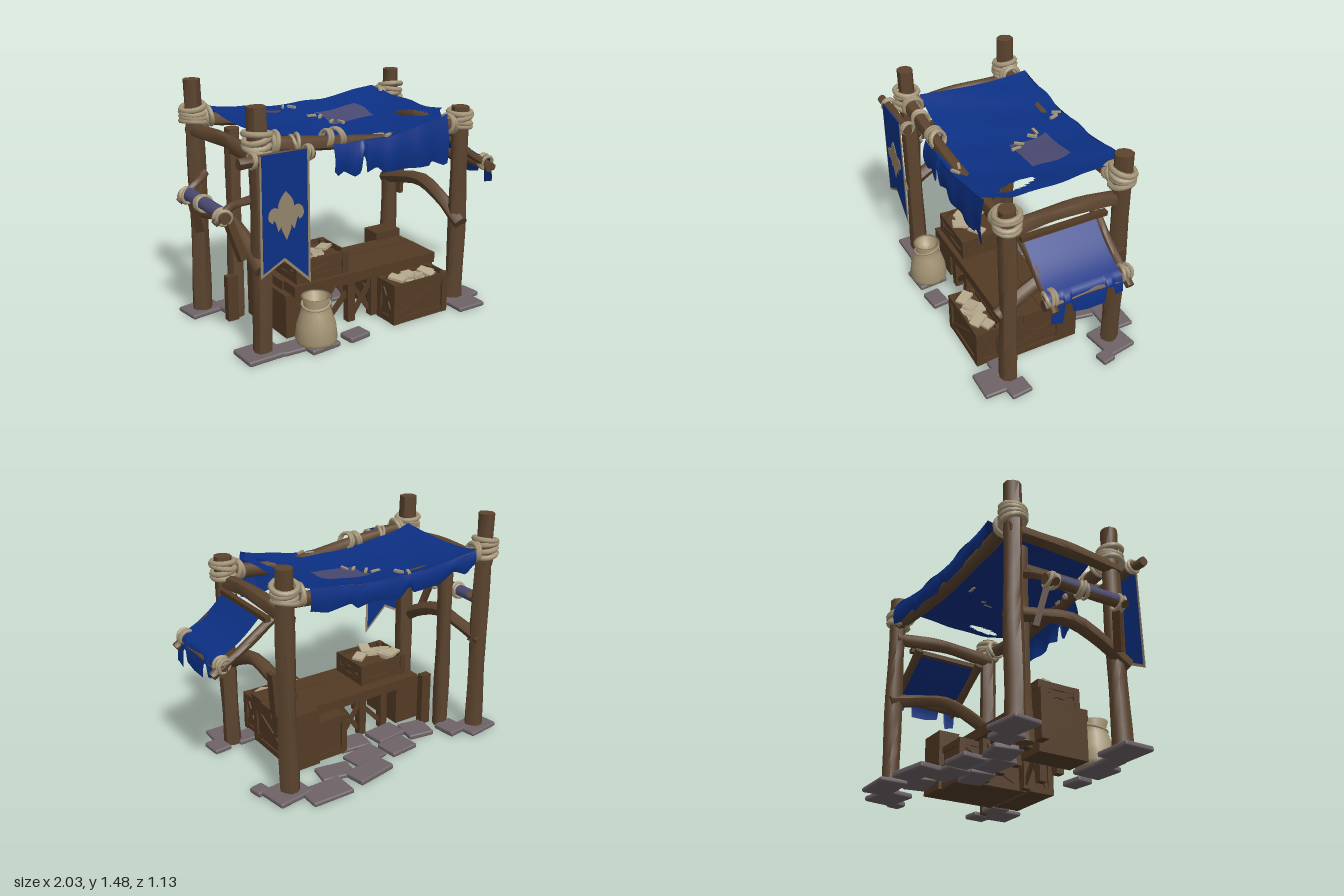
import * as THREE from 'three';
import { toCreasedNormals } from 'three/addons/utils/BufferGeometryUtils.js';
import { RoundedBoxGeometry } from 'three/addons/geometries/RoundedBoxGeometry.js';
import { ParametricGeometry } from 'three/addons/geometries/ParametricGeometry.js';

const mat = (name, color, side = THREE.FrontSide) => {
  const m = new THREE.MeshStandardMaterial({ color, side });
  m.name = name;
  return m;
};
const V = (a) => new THREE.Vector3(...a);

export function createModel() {
  const root = new THREE.Group();
  root.name = 'marketStall';
  const wood = mat('log wood', 0x5c442e), plank = mat('plank wood', 0x533b25);
  const blue = mat('blue cloth', 0x0c3084, THREE.DoubleSide);
  const patchMat = mat('patch cloth', 0x4a4a72, THREE.DoubleSide);
  const rope = mat('rope', 0xa6977a), tan = mat('tan trim', 0x94846a);
  const sackMat = mat('sackcloth', 0xa39473, THREE.DoubleSide);
  const paper = mat('parchment', 0xb5a88c), stone = mat('stone', 0x6e6468);
  let seed = 7;
  const rnd = (a, b) => {
    seed = (seed * 16807) % 2147483647;
    return a + (b - a) * (seed / 2147483647);
  };
  const add = (name, geo, m, parent = root) => {
    const mesh = new THREE.Mesh(geo, m);
    mesh.name = name;
    parent.add(mesh);
    return mesh;
  };
  // box given by its lower and upper corners
  const box = (name, a, b, m = plank, parent = root) => {
    const mesh = add(name, new THREE.BoxGeometry(b[0] - a[0], b[1] - a[1], b[2] - a[2]), m, parent);
    mesh.position.set((a[0] + b[0]) / 2, (a[1] + b[1]) / 2, (a[2] + b[2]) / 2);
    return mesh;
  };
  // hewn log: a cylinder bent along a curve, slightly uneven
  const log = (name, pts, r, r2 = r, m = wood, sides = 9) => {
    const curve = new THREE.CatmullRomCurve3(pts.map(V));
    const g = new THREE.CylinderGeometry(r2, r, 1, sides, 10);
    const p = g.attributes.position, ph = rnd(0, 6), v = V([0, 0, 0]);
    const axis = V(pts[pts.length - 1]).sub(V(pts[0])).normalize();
    const ref = Math.abs(axis.y) > 0.8 ? V([0, 0, 1]) : V([0, 1, 0]);
    for (let i = 0; i < p.count; i++) {
      v.fromBufferAttribute(p, i);
      const t = v.y + 0.5, a = Math.atan2(v.z, v.x);
      const k = 1 + 0.06 * Math.sin(t * 11 + ph + a * 2) + 0.05 * Math.cos(a * 4 + ph);
      const tan3 = curve.getTangent(t), side = tan3.clone().cross(ref).normalize();
      const up = side.clone().cross(tan3);
      const q = curve.getPoint(t).addScaledVector(side, v.x * k).addScaledVector(up, v.z * k);
      p.setXYZ(i, q.x, q.y, q.z);
    }
    return add(name, toCreasedNormals(g, 0.8), m);
  };
  // board or batten between two points
  const batten = (name, a, b, w, d, parent = root, m = plank) => {
    const A = V(a), B = V(b);
    const mesh = add(name, new THREE.BoxGeometry(w, A.distanceTo(B), d), m, parent);
    mesh.position.copy(A).add(B).multiplyScalar(0.5);
    mesh.quaternion.setFromUnitVectors(V([0, 1, 0]), B.sub(A).normalize());
    return mesh;
  };
  // cloth surface from a rule, with an optional torn hole
  const sheet = (name, f, m, nu, nv, torn) => {
    const g = new ParametricGeometry((u, v, o) => o.set(...f(u, v)), nu, nv);
    if (torn) {
      const id = g.index.array, p = g.attributes.position, keep = [];
      for (let i = 0; i < id.length; i += 3) {
        const c = (k) => (p.getComponent(id[i], k) + p.getComponent(id[i + 1], k) + p.getComponent(id[i + 2], k)) / 3;
        if (!torn(c(0), c(2))) keep.push(id[i], id[i + 1], id[i + 2]);
      }
      g.setIndex(keep);
    }
    g.computeVertexNormals();
    return add(name, g, m);
  };
  const profile = (pts) => (x) => {
    let i = 1;
    while (i < pts.length - 1 && x > pts[i][0]) i++;
    const [x0, y0] = pts[i - 1], [x1, y1] = pts[i];
    return y0 + (y1 - y0) * THREE.MathUtils.clamp((x - x0) / (x1 - x0), 0, 1);
  };
  // rope lashing: a few tilted coils
  const lashing = (x, y, z, r, n = 4, axis = 'y', th = 0.014) => {
    const grp = new THREE.Group();
    grp.name = 'ropeLashing';
    for (let i = 0; i < n; i++) {
      const t = add('ropeCoil', new THREE.TorusGeometry(r * rnd(0.95, 1.12), th, 6, 16), rope, grp);
      t.rotation.set(Math.PI / 2 + rnd(-0.3, 0.3), rnd(-0.3, 0.3), 0);
      t.position.y = (i - (n - 1) / 2) * th * 1.7;
    }
    if (axis === 'x') grp.rotation.z = Math.PI / 2;
    if (axis === 'z') grp.rotation.x = Math.PI / 2;
    grp.position.set(x, y, z);
    root.add(grp);
  };

  // corner posts with rope lashings
  for (const [x, z, h, ry] of [[-0.82, -0.36, 1.48, 1.27], [-0.78, 0.36, 1.44, 1.25], [0.62, -0.36, 1.41, 1.26], [0.62, 0.36, 1.28, 1.2]]) {
    log('cornerPost', [[x, 0.01, z], [x + 0.008, h / 2, z], [x, h, z]], 0.058, 0.053);
    lashing(x, ry, z, 0.066, 4, 'y', 0.017);
    lashing(x - Math.sign(x) * 0.09, ry - 0.02, z, 0.055, 2, 'x');
  }
  log('backPost', [[-0.66, 0, -0.2], [-0.65, 0.6, -0.21], [-0.65, 1.2, -0.2]], 0.05, 0.043);

  // frame beams
  log('frontBeam', [[-0.8, 1.24, 0.37], [-0.3, 1.18, 0.37], [0.2, 1.14, 0.36], [0.64, 1.18, 0.36]], 0.042);
  log('backBeam', [[-0.84, 1.24, -0.36], [-0.1, 1.18, -0.36], [0.66, 1.22, -0.36]], 0.04);
  log('rightBeam', [[0.61, 1.12, 0.36], [0.61, 1.145, 0], [0.61, 1.11, -0.38]], 0.045);
  log('leftBeam', [[-0.79, 1.17, 0.4], [-0.8, 1.19, 0], [-0.82, 1.17, -0.4]], 0.042);
  batten('innerRail', [-0.68, 1.07, 0.32], [-0.66, 1.07, -0.24], 0.04, 0.035);
  for (const s of [-1, 1]) {
    const x = s > 0 ? 0.61 : -0.8;
    log('bentBrace', [[x, 0.54, 0.42], [x, 0.66, 0.22], [x, 0.73, 0.02], [x, 0.7, -0.18], [x, 0.65, -0.4]], 0.046, 0.04);
  }

  // canopy, sagging between its corners
  const canopyY = (x, z) => {
    const s = (x + 0.72) / 1.24, t = (z + 0.44) / 0.86;
    return 1.3 - 4 * s * (1 - s) * (0.06 + 0.045 * t) - 0.02 * t - 0.12 * t * (1 - t) + 0.004 * Math.sin(x * 17 + z * 9);
  };
  const frontEdge = profile([[-0.74, 0.29], [-0.45, 0.31], [-0.28, 0.34], [-0.22, 0.42], [0.43, 0.42], [0.5, 0.31], [0.53, 0.3]]);
  sheet('canopy', (u, v) => {
    const x = THREE.MathUtils.lerp(-0.68 - 0.05 * v, 0.52 + 0.008 * Math.sin(v * 14), u);
    const z = THREE.MathUtils.lerp(-0.44 + 0.008 * Math.sin(u * 19), frontEdge(x), v);
    return [x, canopyY(x, z), z];
  }, blue, 60, 48, (x, z) => Math.hypot((x - 0.39 - (z - 0.18) * 0.25) / 0.045, (z - 0.18) / 0.12) < 1);
  sheet('canopyPatch', (u, v) => {
    const x = -0.05 + 0.3 * u + 0.015 * Math.sin(v * 5), z = -0.245 + 0.24 * v;
    return [x, canopyY(x, z) + 0.005, z];
  }, patchMat, 12, 10);
  for (const [x, z, a] of [[-0.08, -0.18, 0.4], [-0.02, -0.04, 1.2], [-0.17, -0.38, 1.5], [0.03, 0.38, 0.1]]) {
    for (const d of [-0.02, 0.02]) {
      const st = box('ropeStitch', [-0.03, -0.008, -0.008], [0.03, 0.008, 0.008], rope);
      st.position.set(x + d, canopyY(x, z) + 0.008, z + d);
      st.rotation.y = a + d * 20;
    }
  }
  // ragged flaps at front and back
  const frag = profile([[-0.34, 1.03], [-0.31, 1.0], [-0.27, 1.02], [-0.2, 0.98], [-0.16, 1.0], [-0.15, 1.09], [-0.13, 1.09], [-0.12, 0.99],
    [-0.04, 1.01], [0, 0.975], [0.15, 0.97], [0.34, 0.96], [0.36, 0.985], [0.44, 0.95], [0.47, 0.96]]);
  sheet('frontFlap', (u, v) => {
    const x = -0.34 + 0.81 * u, top = canopyY(x, 0.42);
    return [x, THREE.MathUtils.lerp(top, frag(x), v), 0.42 + 0.02 * Math.sin(v * 2.6) + 0.008 * v * Math.sin(x * 30)];
  }, blue, 80, 8);
  const back = profile([[-0.66, 1.2], [-0.6, 1.15], [-0.5, 1.19], [-0.4, 1.13], [-0.2, 1.12], [-0.17, 1.17], [-0.1, 1.1], [0.1, 1.13], [0.2, 1.11], [0.24, 1.15], [0.4, 1.13], [0.5, 1.16]]);
  sheet('backFlap', (u, v) => {
    const x = -0.67 + 1.18 * u;
    return [x, THREE.MathUtils.lerp(canopyY(x, -0.44), back(x), v), -0.44 - 0.012 * Math.sin(v * 3)];
  }, blue, 60, 6);
  for (const x of [-0.55, -0.35, -0.28]) lashing(x, 1.21, 0.365, 0.047, 2, 'x', 0.011);

  // side awning
  for (const z of [-0.2, 0.27]) {
    log('awningArm', [[0.6, 1.07, z], [0.8, 0.93, z], [1.0, 0.81, z]], 0.028, 0.025);
    lashing(0.93, 0.86, z, 0.042, 3, 'z', 0.011);
  }
  log('awningBar', [[0.94, 0.83, 0.31], [0.94, 0.84, 0.05], [0.94, 0.83, -0.22]], 0.034);
  batten('awningTopRail', [0.66, 1.08, 0.3], [0.66, 1.08, -0.24], 0.035, 0.03);
  const aw = profile([[-0.17, 0.78], [-0.12, 0.77], [-0.1, 0.84], [-0.06, 0.84], [-0.055, 0.74], [0.06, 0.74], [0.15, 0.76], [0.16, 0.83], [0.2, 0.83], [0.21, 0.7], [0.27, 0.72], [0.28, 0.72]]);
  sheet('sideAwning', (u, v) => {
    const z = 0.285 - 0.45 * u, k = Math.min(v / 0.7, 1), h = Math.max(0, (v - 0.7) / 0.3);
    const y = 1.085 - 0.205 * k - 0.03 * Math.sin(k * Math.PI);
    return [0.66 + 0.3 * k + 0.025 * Math.sin(h * 1.6), THREE.MathUtils.lerp(y, aw(z), h), z];
  }, blue, 64, 16);
  batten('sideStrut', [0.685, 0.54, -0.33], [0.7, 0.8, -0.33], 0.03, 0.06);

  // tied rail on the opposite side
  log('sideRail', [[-0.95, 0.83, 0.3], [-0.94, 0.84, 0], [-0.95, 0.83, -0.25]], 0.033);
  for (const z of [-0.21, 0.26]) {
    log('railArm', [[-0.8, 0.93, z * 1.3], [-0.9, 0.88, z], [-1.0, 0.8, z]], 0.024);
    batten('railStrut', [-0.93, 0.84, z], [-0.86, 0.58, z * 1.2], 0.035, 0.05);
    lashing(-0.95, 0.83, z, 0.042, 3, 'z', 0.011);
  }
  lashing(-0.945, 0.84, 0, 0.043, 3, 'z', 0.011);
  sheet('railCloth', (u, v) => {
    const a = -0.4 + v * 3.9;
    return [-0.945 + 0.041 * Math.cos(a), 0.84 + 0.041 * Math.sin(a), -0.19 + 0.43 * u];
  }, patchMat, 10, 14);

  // hanging banner with trim and ornament
  log('bannerPole', [[-0.95, 1.175, 0.47], [-0.72, 1.18, 0.47], [-0.5, 1.175, 0.47]], 0.03);
  const poly = (pts) => new THREE.Shape(pts.map((p) => new THREE.Vector2(...p)));
  const plate = (name, shape, depth, z, m) => {
    const mesh = add(name, new THREE.ExtrudeGeometry(shape, { depth, bevelEnabled: false, curveSegments: 8 }), m);
    mesh.position.z = z;
    return mesh;
  };
  plate('bannerTrim', poly([[-0.845, 1.205], [-0.855, 0.53], [-0.71, 0.605], [-0.545, 0.445], [-0.545, 1.205]]), 0.004, 0.502, tan);
  plate('bannerCloth', poly([[-0.835, 1.21], [-0.84, 0.555], [-0.708, 0.625], [-0.56, 0.48], [-0.56, 1.21]]), 0.008, 0.5, blue);
  const leaf = new THREE.Shape().moveTo(0, 0.15);
  leaf.quadraticCurveTo(0.085, 0.07, 0.022, 0).lineTo(0.03, -0.06).lineTo(0, -0.125).lineTo(-0.03, -0.06).lineTo(-0.022, 0).quadraticCurveTo(-0.085, 0.07, 0, 0.15);
  const petal = (s) => {
    const p = new THREE.Shape().moveTo(s * 0.02, -0.03);
    return p.bezierCurveTo(s * 0.02, 0.06, s * 0.07, 0.09, s * 0.1, 0.05).quadraticCurveTo(s * 0.125, 0, s * 0.08, -0.02)
      .quadraticCurveTo(s * 0.075, 0.03, s * 0.05, -0.07).lineTo(s * 0.02, -0.03);
  };
  for (const sh of [leaf, petal(1), petal(-1), poly([[-0.06, -0.035], [0.06, -0.035], [0.06, -0.01], [-0.06, -0.01]])]) {
    plate('bannerOrnament', sh, 0.003, 0.508, tan).position.set(-0.695, 0.85, 0.508);
  }
  for (const x of [-0.86, -0.53]) lashing(x, 1.178, 0.46, 0.036, 2, 'x', 0.01);

  // framed crate with crossed battens and papers inside
  const crate = (name, x0, x1, y0, y1, z0, z1, open) => {
    const g = new THREE.Group();
    g.name = name;
    root.add(g);
    const e = 0.014, w = 0.04;
    box('crateBody', [x0 + e, y0, z0 + e], [x1 - e, y1 - (open ? 0.03 : 0), z1 - e], plank, g);
    for (const x of [x0, x1 - w]) for (const z of [z0, z1 - w]) box('cornerPiece', [x, y0, z], [x + w, y1, z + w], plank, g);
    for (const y of [y0, y1 - w]) {
      for (const z of [z0, z1 - e]) box('crateSlat', [x0 + w, y, z + 0.002], [x1 - w, y + w, z + e - 0.002], plank, g);
      for (const x of [x0, x1 - e]) box('crateSlat', [x + 0.002, y, z0 + w], [x + e - 0.002, y + w, z1 - w], plank, g);
    }
    const lo = y0 + w, hi = y1 - w;
    for (const x of [x0 + 0.01, x1 - 0.01]) for (const s of [0, 1]) batten('crossBatten', [x, s ? lo : hi, z0 + w], [x, s ? hi : lo, z1 - w], 0.012, 0.03, g);
    for (const z of [z0 + 0.01, z1 - 0.01]) batten('crossBatten', [x0 + w, lo, z], [x1 - w, hi, z], 0.03, 0.012, g);
    for (let i = 0; open && i < 9; i++) {
      const p = box('parchment', [-0.05, -0.008, -0.035], [0.05, 0.008, 0.035], paper, g);
      p.position.set(rnd(x0 + 0.07, x1 - 0.07), y1 - 0.015 + i * 0.003, rnd(z0 + 0.065, z1 - 0.065));
      p.rotation.set(rnd(-0.15, 0.15), rnd(0, 3), rnd(-0.15, 0.15));
    }
  };
  crate('counterCrate', 0.08, 0.49, 0.01, 0.28, -0.17, 0.3, false);
  crate('frontCrate', 0.05, 0.46, 0.01, 0.27, 0.31, 0.49, true);
  crate('topCrate', -0.51, -0.15, 0.34, 0.475, 0, 0.29, true);
  box('backBox', [0.3, 0.01, -0.19], [0.49, 0.39, -0.05]);

  // counter top, legs and cross braces
  for (let i = 0; i < 3; i++) box('counterPlank', [-0.56 + i * 0.01, 0.275, -0.07 + i * 0.13], [0.49 + (i % 2) * 0.01, 0.34 - (i % 2) * 0.005, 0.06 + i * 0.13]);
  box('counterSide', [-0.58, 0.01, -0.05], [-0.4, 0.28, 0.28]);
  for (const z of [-0.02, 0.27]) {
    for (const x of [-0.3, -0.13, 0.04]) box('counterLeg', [x - 0.025, 0.01, z - 0.025], [x + 0.025, 0.28, z + 0.025]);
    for (const s of [-1, 1]) batten('legCross', [-0.045 - s * 0.08, 0.03, z + s * 0.008], [-0.045 + s * 0.08, 0.26, z + s * 0.008], 0.03, 0.015);
    batten('legBrace', [-0.3, 0.04, z], [-0.15, 0.2, z], 0.03, 0.02);
  }
  for (const [x, h] of [[-0.76, 0.3], [-0.6, 0.37]]) box('leaningPlank', [x, 0.01, -0.16], [x + 0.07, h, -0.11]);

  // sack
  const sack = [[0, 0.015], [0.11, 0.015], [0.125, 0.05], [0.115, 0.14], [0.09, 0.22], [0.072, 0.265], [0.088, 0.31], [0.07, 0.305], [0.055, 0.25], [0, 0.24]];
  add('sack', new THREE.LatheGeometry(sack.map((p) => new THREE.Vector2(...p)), 18), sackMat).position.set(-0.46, 0, 0.42);
  lashing(-0.46, 0.265, 0.42, 0.074, 1, 'y', 0.008);

  // paving stones: x, z, width, depth
  for (const [x, z, w, d] of [[-0.82, -0.37, 0.23, 0.18], [-0.66, -0.31, 0.14, 0.16], [-0.8, 0.36, 0.24, 0.2], [-0.62, 0.4, 0.15, 0.13],
    [0.62, 0.46, 0.2, 0.19], [0.73, 0.35, 0.12, 0.14], [0.53, 0.36, 0.14, 0.13], [0.64, -0.36, 0.24, 0.2], [0.76, -0.25, 0.09, 0.09],
    [0.44, -0.48, 0.28, 0.18], [0.1, -0.44, 0.28, 0.15], [0.28, -0.33, 0.22, 0.15], [0.02, -0.28, 0.24, 0.16], [-0.22, -0.3, 0.2, 0.16],
    [-0.25, -0.13, 0.22, 0.16], [0.0, -0.1, 0.22, 0.16], [-0.45, -0.2, 0.18, 0.18], [-0.22, 0.47, 0.15, 0.11], [-0.46, 0.43, 0.2, 0.2]]) {
    const h = rnd(0.024, 0.036);
    const s = add('pavingStone', new RoundedBoxGeometry(w, h, d, 2, 0.011), stone);
    s.position.set(x, h / 2, z);
    s.rotation.y = rnd(-0.2, 0.2);
  }
  return root;
}
